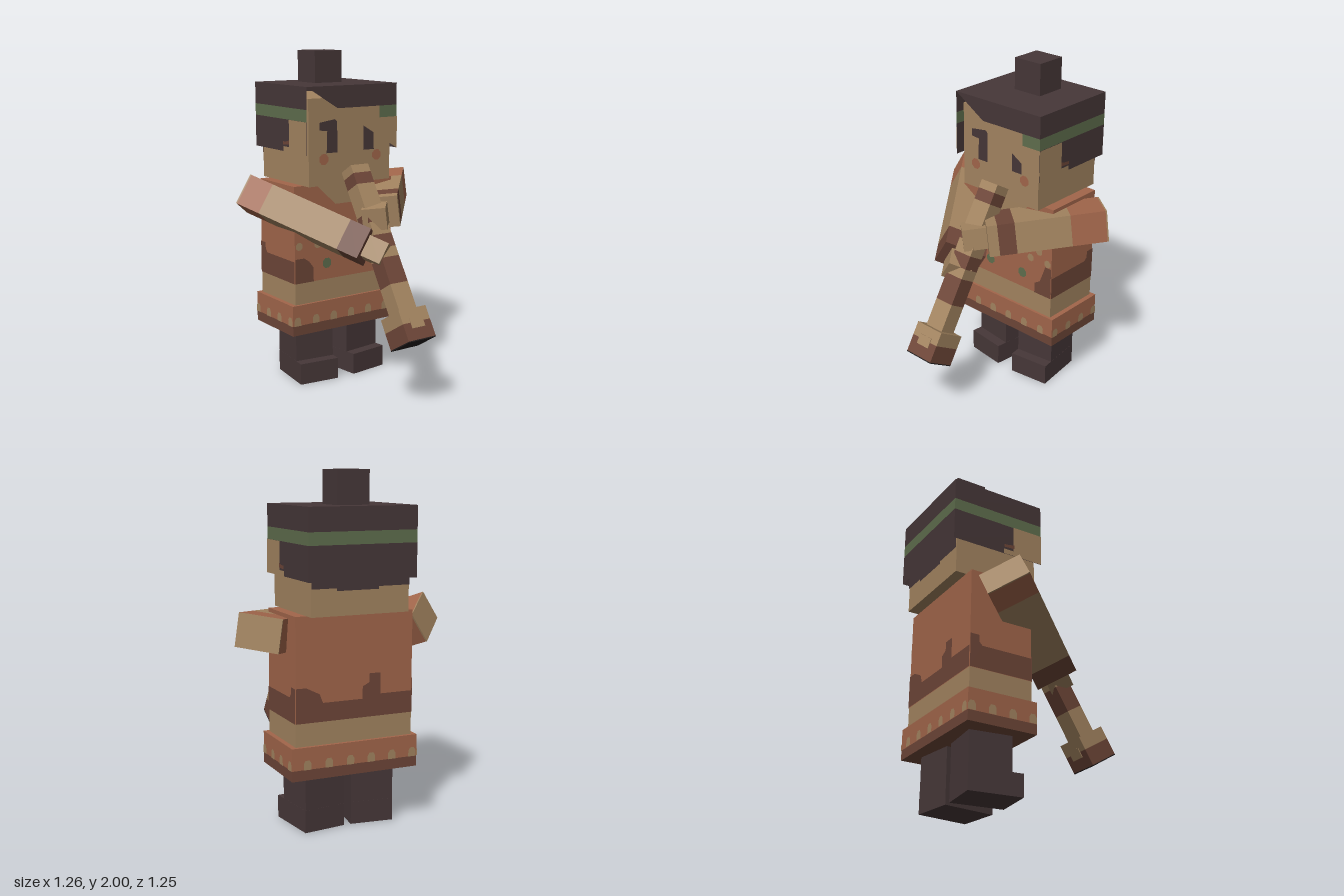
import * as THREE from 'three';

const mat = (name, color, side = THREE.FrontSide) => {
  const m = new THREE.MeshStandardMaterial({ color, side });
  m.name = name;
  return m;
};
const D = THREE.DoubleSide;

export function createModel() {
  const dark = mat('dark hair', 0x463738, D);
  const tan = mat('tan', 0xa38460, D);
  const clay = mat('terracotta', 0xa2664b, D);
  const brown = mat('brown', 0x6e4638, D);
  const green = mat('green', 0x5f6e4d, D);
  const black = mat('black', 0x221d1d, D);

  const model = new THREE.Group();
  const CX = 0.006; // figure's mid line

  const group = (name, parent = model) => {
    const g = new THREE.Group();
    g.name = name;
    parent.add(g);
    return g;
  };
  // box given by its min and max corners
  const box = (parent, name, m, a, b) => {
    const mesh = new THREE.Mesh(new THREE.BoxGeometry(b[0] - a[0], b[1] - a[1], b[2] - a[2]), m);
    mesh.position.set((a[0] + b[0]) / 2, (a[1] + b[1]) / 2, (a[2] + b[2]) / 2);
    mesh.name = name;
    parent.add(mesh);
    return mesh;
  };
  // flat polygon in a wall; points are [x, y] on front/back, [z, y] on the sides
  const walls = { front: [0, 1], back: [Math.PI, -1], right: [Math.PI / 2, -1], left: [-Math.PI / 2, 1] };
  const plate = (parent, name, m, wall, at, pts) => {
    const [angle, sign] = walls[wall];
    const shape = new THREE.Shape(pts.map(p => new THREE.Vector2(p[0] * sign, p[1])));
    const mesh = new THREE.Mesh(new THREE.ShapeGeometry(shape), m);
    mesh.rotation.y = angle;
    mesh.position[wall === 'front' || wall === 'back' ? 'z' : 'x'] = at;
    mesh.name = name;
    parent.add(mesh);
  };
  const rect = (x0, y0, x1, y1) => [[x0, y0], [x1, y0], [x1, y1], [x0, y1]];
  const disc = (x, y, r) => Array.from({ length: 8 }, (_, i) => {
    const t = (i + 0.5) * Math.PI / 4;
    return [x + r * Math.cos(t), y + r * Math.sin(t)];
  });

  // Head
  const head = group('head');
  box(head, 'face', tan, [-0.285, 1.23, -0.59], [0.297, 1.74, -0.075]);
  for (const s of [-1, 1]) {
    const X = x => CX + s * x;
    plate(head, 'eye', dark, 'front', -0.07, [
      [X(0.095), 1.42], [X(0.17), 1.42], [X(0.165), 1.55], [X(0.22), 1.555],
      [X(0.22), 1.6], [X(0.11), 1.615], [X(0.095), 1.6]]);
    plate(head, 'cheek', clay, 'front', -0.07, disc(X(0.19), 1.385, 0.034));
  }
  plate(head, 'napeHair', dark, 'back', -0.595, [
    [-0.285, 1.5], [0.297, 1.5], [0.297, 1.38], [0.15, 1.38], [0.15, 1.365],
    [-0.1, 1.365], [-0.1, 1.38], [-0.285, 1.38]]);

  // Hair shell: open below and at the lower half of the front
  const hair = group('hair');
  const hx0 = -0.315, hx1 = 0.327, hz0 = -0.624, hz1 = -0.045;
  for (const [n, m, y0, y1] of [['hairLower', dark, 1.42, 1.61], ['headband', green, 1.61, 1.68], ['hairUpper', dark, 1.68, 1.81]]) {
    plate(hair, n, m, 'back', hz0, rect(hx0, y0, hx1, y1));
    plate(hair, n, m, 'right', hx1, rect(hz0, y0, hz1, y1));
    plate(hair, n, m, 'left', hx0, rect(hz0, y0, hz1, y1));
  }
  const crown = new THREE.Mesh(new THREE.PlaneGeometry(hx1 - hx0, hz1 - hz0), dark);
  crown.rotation.x = -Math.PI / 2;
  crown.position.set((hx0 + hx1) / 2, 1.81, (hz0 + hz1) / 2);
  crown.name = 'crown';
  hair.add(crown);
  plate(hair, 'fringe', dark, 'front', hz1, [[hx0, 1.81], [hx1, 1.81], [hx1, 1.68], [-0.102, 1.68]]);
  plate(hair, 'frontBand', green, 'front', hz1, rect(0.2, 1.61, hx1, 1.68));
  plate(hair, 'brow', tan, 'front', hz1, [[-0.102, 1.68], [0.2, 1.68], [0.2, 1.61], [hx1, 1.61], [hx1, 1.42]]);
  for (const [w, x] of [['right', hx1 + 0.003], ['left', hx0 - 0.003]]) {
    plate(hair, 'temple', tan, w, x, [
      [hz1, 1.61], [-0.235, 1.61], [-0.235, 1.45], [-0.3, 1.45], [-0.3, 1.42], [hz1, 1.42]]);
    plate(hair, 'sideburn', brown, w, x + Math.sign(x) * 0.003, [
      [-0.23, 1.49], [-0.27, 1.48], [-0.3, 1.48], [-0.3, 1.46], [-0.23, 1.465]]);
  }
  box(hair, 'bun', dark, [-0.09, 1.81, -0.492], [0.102, 2, -0.302]);

  // Tunic
  const body = group('tunic');
  const bx0 = -0.348, bx1 = 0.36, bz0 = -0.525, bz1 = -0.138, e = 0.004;
  box(body, 'waist', tan, [bx0, 0.5, bz0], [bx1, 0.645, bz1]);
  box(body, 'chest', clay, [bx0, 0.645, bz0], [bx1, 1.23, bz1]);
  plate(body, 'stain', brown, 'front', bz1 + e, [
    [bx0, 0.645], [-0.22, 0.645], [-0.22, 0.73], [-0.25, 0.77], [-0.285, 0.795], [bx0, 0.795]]);
  plate(body, 'stain', brown, 'front', bz1 + e, [
    [bx1, 0.645], [0.235, 0.645], [0.235, 0.71], [0.275, 0.735], [0.3, 0.8], [0.315, 0.845], [bx1, 0.845]]);
  for (const [w, x] of [['right', bx1 + e], ['left', bx0 - e]]) {
    plate(body, 'stain', brown, w, x, [
      [bz1, 0.645], [bz0, 0.645], [bz0, 0.84], [-0.47, 0.84], [-0.47, 0.8], [-0.45, 0.78], [bz1, 0.78]]);
  }
  plate(body, 'stain', brown, 'back', bz0 - e, [
    [bx1, 0.645], [bx0, 0.645], [bx0, 0.77], [-0.15, 0.77], [-0.15, 0.89], [-0.08, 0.89], [-0.08, 0.84],
    [-0.04, 0.82], [-0.04, 0.75], [0.2, 0.75], [0.22, 0.8], [0.3, 0.84], [bx1, 0.84]]);
  plate(body, 'collar', tan, 'front', bz1 + e, [[-0.2, 1.23], [0.21, 1.23], [0.07, 1.1], [-0.06, 1.1]]);
  for (const s of [-1, 1]) {
    plate(body, 'greenPatch', green, 'front', bz1 + e, disc(CX + s * 0.13, 0.745, 0.033));
    for (const [x, y] of [[0.13, 0.93], [0.26, 0.93], [0.195, 0.87], [0.325, 0.87]])
      plate(body, 'dot', tan, 'front', bz1 + e, disc(CX + s * x, y, 0.025));
  }

  // Hem with a row of dots
  const hem = group('hem');
  const sx0 = -0.376, sx1 = 0.39, sz0 = -0.545, sz1 = -0.122;
  box(hem, 'hemEdge', brown, [sx0, 0.33, sz0], [sx1, 0.39, sz1]);
  box(hem, 'hemBand', clay, [sx0, 0.39, sz0], [sx1, 0.515, sz1]);
  const arch = u => [[u - 0.023, 0.39], [u + 0.023, 0.39], [u + 0.023, 0.425], [u + 0.012, 0.443], [u - 0.012, 0.443], [u - 0.023, 0.425]];
  for (let i = 0; i < 6; i++) {
    plate(hem, 'hemDot', tan, 'front', sz1 + e, arch(-0.345 + i * 0.129));
    plate(hem, 'hemDot', tan, 'back', sz0 - e, arch(-0.345 + i * 0.129));
  }
  for (let i = 0; i < 4; i++) {
    plate(hem, 'hemDot', tan, 'right', sx1 + e, arch(-0.148 - i * 0.125));
    plate(hem, 'hemDot', tan, 'left', sx0 - e, arch(-0.148 - i * 0.125));
  }

  // Legs, toes turned out
  for (const s of [-1, 1]) {
    const leg = group(s < 0 ? 'rightLeg' : 'leftLeg');
    leg.position.set(0.008 + s * 0.162, 0, -0.333);
    leg.rotation.y = s * 0.122;
    box(leg, 'trouser', dark, [-0.125, 0.13, -0.125], [0.125, 0.36, 0.125]);
    box(leg, 'shoe', dark, [-0.126, 0, -0.126], [0.126, 0.13, 0.191]);
  }

  // Bar whose local y runs along its length, built of coloured segments
  const bar = (name, start, side, axis, w, d, segments) => {
    const g = group(name);
    const y = new THREE.Vector3(...axis).normalize();
    const z = new THREE.Vector3(...side).cross(y).normalize();
    const x = new THREE.Vector3().crossVectors(y, z);
    g.quaternion.setFromRotationMatrix(new THREE.Matrix4().makeBasis(x, y, z));
    g.position.set(...start);
    let s = 0;
    for (const [n, m, to] of segments) {
      box(g, n, m, [-w / 2, s, -d / 2], [w / 2, to, d / 2]);
      s = to;
    }
    return g;
  };

  // Arms reaching forward to the flute
  const rightArm = bar('rightArm', [-0.497, 1.166, -0.408], [0.532, 0.846, 0], [0.547, -0.344, 0.764], 0.188, 0.252, [
    ['shoulderCap', tan, 0.008], ['shoulder', clay, 0.15], ['sleeve', tan, 0.66], ['cuff', brown, 0.79]]);
  box(rightArm, 'hand', tan, [-0.065, 0.79, -0.075], [0.065, 0.91, 0.065]);
  const leftArm = bar('leftArm', [0.522, 1.136, -0.405], [-0.144, 0.99, 0], [-0.656, -0.095, 0.748], 0.188, 0.252, [
    ['shoulderCap', tan, 0.008], ['shoulder', clay, 0.21], ['sleeve', tan, 0.53], ['cuff', brown, 0.63], ['cuffEdge', tan, 0.69]]);
  box(leftArm, 'hand', tan, [-0.065, 0.69, -0.075], [0.065, 0.83, 0.065]);

  // Flute
  const flute = bar('flute', [0.008, 1.323, -0.03], [1, 0, 0], [0, -0.852, 0.523], 0.124, 0.11, [
    ['mouthpiece', tan, 0.05], ['ring', brown, 0.12], ['tube', tan, 0.3], ['ring', brown, 0.36], ['tube', tan, 0.44],
    ['ring', brown, 0.52], ['tube', tan, 0.58], ['ring', brown, 0.74], ['tube', tan, 0.905]]);
  box(flute, 'bell', tan, [-0.096, 0.905, -0.095], [0.096, 0.985, 0.095]);
  box(flute, 'bellRim', brown, [-0.096, 0.985, -0.095], [0.096, 1.086, 0.095]);
  box(flute, 'bellOpening', black, [-0.096, 1.086, -0.095], [0.096, 1.092, 0.095]);
  for (const z of [-0.098, 0.098])
    box(flute, 'bellDrip', tan, [-0.045, 0.96, z - 0.002], [0.045, 1.02, z + 0.002]);

  return model;
}
